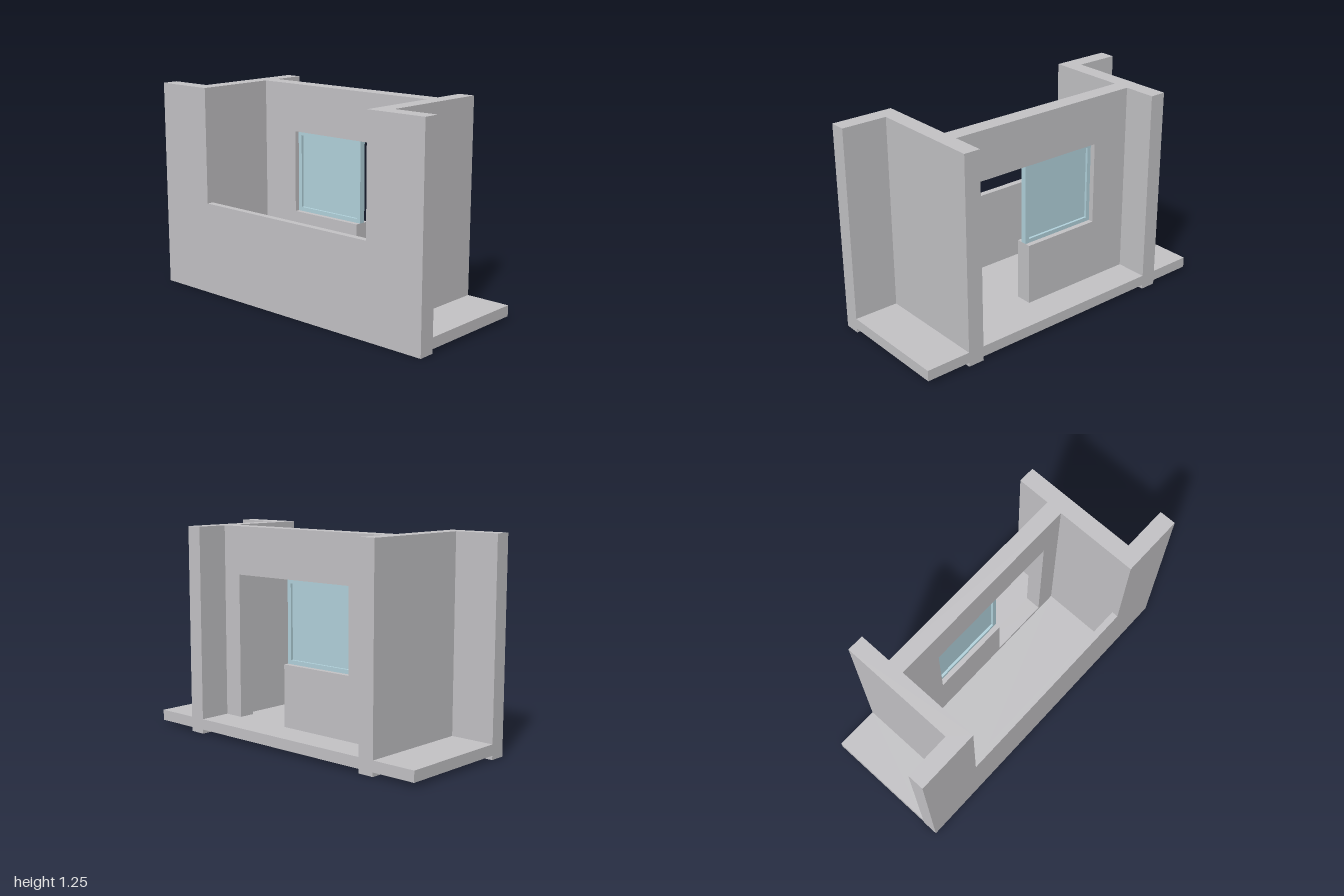
import * as THREE from 'three';

const TOP = 1.255, FLOOR = 0.09, BALCONY = 0.065, SLAB_BASE = 0.025;
const INNER = 0.625, OUTER = 0.725; // faces of the party walls

export function createModel() {
  const model = new THREE.Group();
  model.name = 'balconyUnit';
  const concrete = new THREE.MeshStandardMaterial({ color: 0xc4c3c6 });
  concrete.name = 'concrete grey';
  const glass = new THREE.MeshStandardMaterial({ color: 0xb3d3dd });
  glass.name = 'glass blue';

  const add = (name, geometry, material) => {
    const mesh = new THREE.Mesh(geometry, material);
    mesh.name = name;
    model.add(mesh);
  };
  // box given by its limits on each axis
  const box = (name, x0, x1, y0, y1, z0, z1, material = concrete) =>
    add(name, new THREE.BoxGeometry(x1 - x0, y1 - y0, z1 - z0)
      .translate((x0 + x1) / 2, (y0 + y1) / 2, (z0 + z1) / 2), material);
  const outline = (points) => points.map(([x, y]) => new THREE.Vector2(x, y));
  // wall cut from an outline in x and y, with one opening
  const panel = (name, points, opening, z0, z1, material) => {
    const shape = new THREE.Shape(outline(points));
    shape.holes.push(new THREE.Path(outline(opening)));
    const geometry = new THREE.ExtrudeGeometry(shape, { depth: z1 - z0, bevelEnabled: false });
    add(name, geometry.translate(0, 0, z0), material);
  };
  const rect = (x0, x1, y0, y1) => [[x0, y0], [x1, y0], [x1, y1], [x0, y1]];

  // party walls turning into the front facade, and the outer room floors
  const plan = [[INNER, -0.4], [OUTER, -0.4], [OUTER, 0.3], [1, 0.3], [1, 0.4], [INNER, 0.4]];
  for (const [side, s] of [['left', 1], ['right', -1]]) {
    const shape = new THREE.Shape(outline(plan.map(([x, z]) => [s * x, -z])));
    const wall = new THREE.ExtrudeGeometry(shape, { depth: TOP, bevelEnabled: false });
    add(side + 'Wall', wall.rotateX(-Math.PI / 2), concrete);
    const [x0, x1] = s > 0 ? [OUTER, 1] : [-1, -OUTER];
    box(side + 'OuterFloor', x0, x1, SLAB_BASE, FLOOR, -0.4, 0.3);
  }

  // balcony and the room floor behind it
  box('parapet', -INNER, INNER, 0, 0.56, 0.36, 0.4);
  box('balconyFloor', -INNER, INNER, 0, BALCONY, -0.1, 0.36);
  box('roomFloor', -INNER, INNER, SLAB_BASE, FLOOR, -0.4, -0.2);

  // recessed wall with a joined window and door opening
  panel('balconyWall', rect(-INNER, INNER, 0, TOP), [
    [-0.375, 0.465], [0.125, 0.465], [0.125, FLOOR], [0.5, FLOOR], [0.5, 0.965], [-0.375, 0.965],
  ], -0.2, -0.1, concrete);

  // window
  panel('windowFrame', rect(-0.375, 0.125, 0.465, 0.965),
    rect(-0.35, 0.1, 0.49, 0.94), -0.168, -0.13, glass);
  box('windowPane', -0.35, 0.1, 0.49, 0.94, -0.153, -0.145, glass);

  return model;
}
